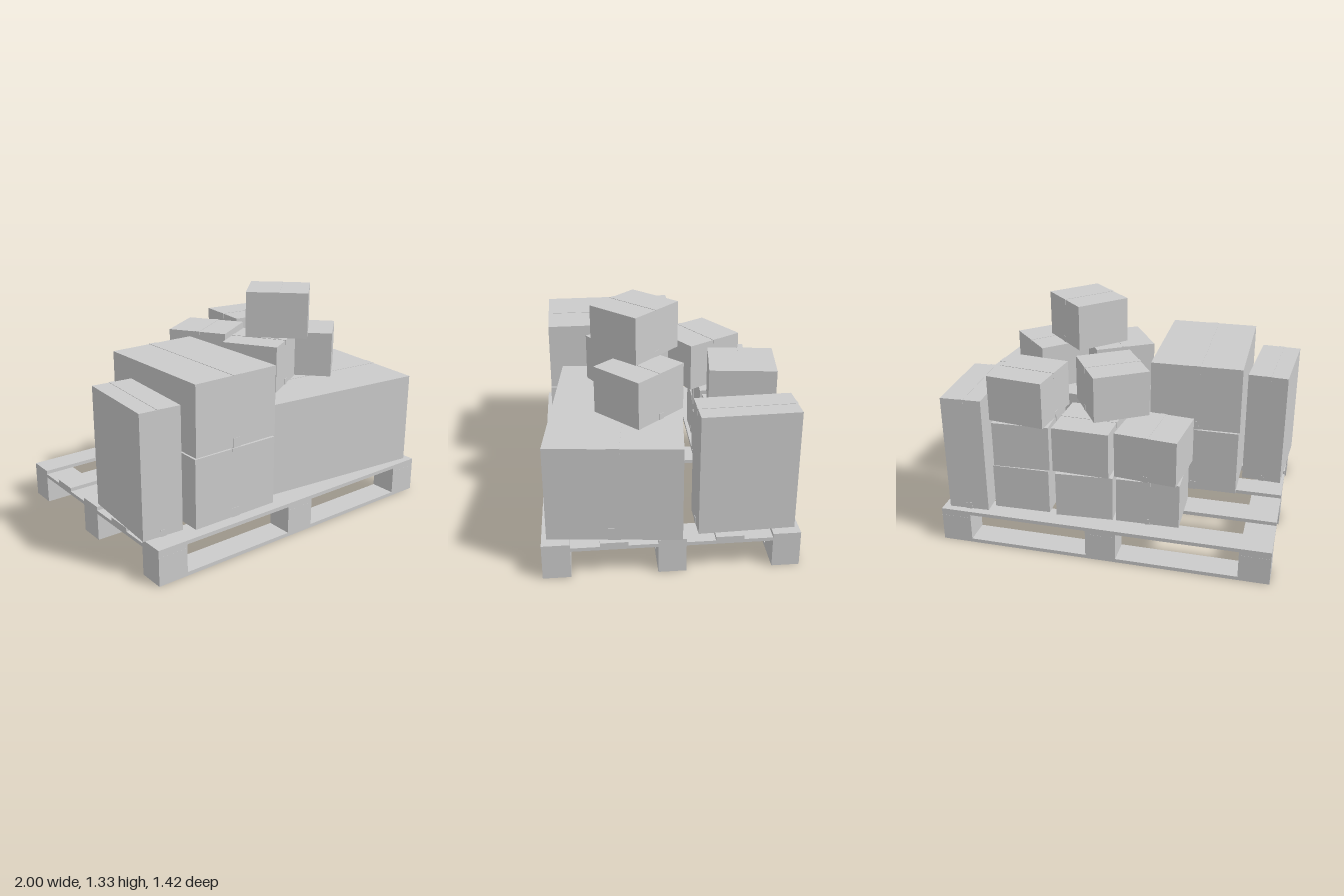
import * as THREE from 'three';

const grey = new THREE.MeshStandardMaterial({ color: 0xcccccc });

function block(parent, name, w, h, d, x, y, z) {
  const mesh = new THREE.Mesh(new THREE.BoxGeometry(w, h, d), grey);
  mesh.name = name;
  mesh.position.set(x, y, z);
  parent.add(mesh);
  return mesh;
}

// Carton standing at height y, with tape over the lid and base seams folded down both ends
function carton(parent, name, [w, h, d], x, y, z, turn, tapeAxis, tapeWidth) {
  const box = new THREE.Group();
  box.name = name;
  box.position.set(x, y, z);
  box.rotation.y = turn;
  block(box, 'carton', w, h, d, 0, h / 2, 0);

  const t = 0.002;
  const fold = tapeWidth * 1.05;
  const length = tapeAxis === 'x' ? w : d;
  const tape = new THREE.Group();
  tape.name = 'tape';
  if (tapeAxis === 'z') tape.rotation.y = Math.PI / 2;
  for (const top of [0, 1]) {
    block(tape, 'seamTape', length + 2 * t, t, tapeWidth, 0, top ? h + t / 2 : -t / 2, 0);
    for (const side of [-1, 1]) {
      block(tape, 'tapeEnd', t, fold, tapeWidth,
        side * (length + t) / 2, top ? h - fold / 2 : fold / 2, 0);
    }
  }
  box.add(tape);
  parent.add(box);
}

function createPallet() {
  const pallet = new THREE.Group();
  pallet.name = 'pallet';
  const columns = [-0.89, 0, 0.89];
  const skids = [-0.633, 0, 0.633];

  // Top deck boards
  for (const z of [-0.633, -0.3165, 0, 0.3165, 0.633]) {
    block(pallet, 'deckBoard', 1.96, 0.022, 0.155, 0, 0.198, z);
  }
  // Cross boards below the deck
  for (const x of columns) block(pallet, 'crossBoard', 0.18, 0.021, 1.42, x, 0.1765, 0);
  // Bottom runners and spacer blocks
  for (const z of skids) {
    block(pallet, 'bottomRunner', 1.96, 0.022, 0.155, 0, 0.011, z);
    for (const x of columns) block(pallet, 'spacerBlock', 0.18, 0.144, 0.155, x, 0.094, z);
  }
  return pallet;
}

export function createModel() {
  const model = new THREE.Group();
  model.name = 'loadedPallet';
  model.add(createPallet());

  const floor = 0.217;
  const tall = [0.24, 0.708, 0.537];
  const medium = [0.543, 0.405, 0.79];
  const small = [0.337, 0.274, 0.368];

  // Narrow upright cartons
  carton(model, 'tallCartonRight', tall, -0.86, floor, 0.335, -0.07, 'z', 0.035);
  carton(model, 'tallCartonLeft', tall, 0.823, floor, -0.41, 0.033, 'z', 0.035);

  // Stack of two medium cartons
  carton(model, 'mediumCartonLower', medium, -0.432, floor, 0.26, 0, 'z', 0.05);
  carton(model, 'mediumCartonUpper', medium, -0.433, 0.629, 0.26, 0.012, 'z', 0.05);

  // Large carton
  carton(model, 'largeCarton', [1.08, 0.556, 0.74], 0.425, floor, 0.26, -0.1, 'x', 0.07);

  // Small cartons: [x, layer, z, turn]
  const layers = [floor, 0.496, 0.775, 1.053];
  const quarter = Math.PI / 2;
  const smallCartons = [
    // back row, bottom layer
    [-0.25, 0, -0.43, quarter + 0.02], [0.13, 0, -0.43, 0.06], [0.505, 0, -0.43, 0.02],
    // back row, second layer
    [-0.255, 1, -0.435, quarter - 0.11], [0.132, 1, -0.425, -0.04], [0.5, 1, -0.43, 0.04],
    // back row, third layer
    [0.492, 2, -0.433, -0.12], [0.042, 2, -0.245, 0.56],
    // pile on the large carton
    [0.118, 2, 0.185, -1.028], [0.52, 2, 0.143, 0.75], [0.295, 3, 0.15, 0.79],
  ];
  for (const [x, layer, z, turn] of smallCartons) {
    carton(model, 'smallCarton', small, x, layers[layer], z, turn, 'x', 0.032);
  }
  return model;
}
